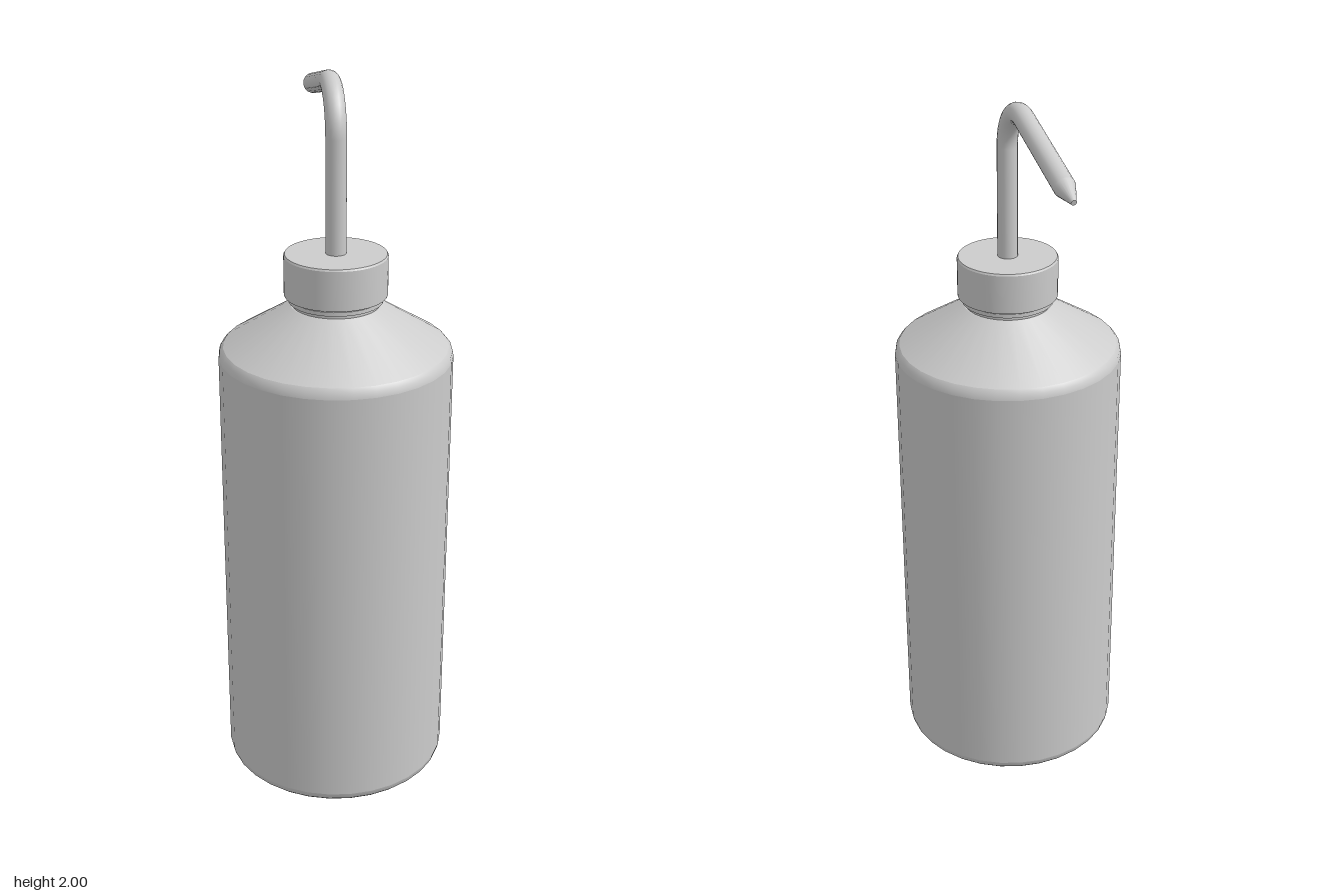
import * as THREE from 'three';

const material = new THREE.MeshStandardMaterial({ color: 0xcccccc });
const AXIS_Z = 0.105; // the bottle sits forward so that the spout balances it

function addMesh(parent, name, geometry) {
  const mesh = new THREE.Mesh(geometry, material);
  mesh.name = name;
  parent.add(mesh);
  return mesh;
}

// Turned part from [radius, height] pairs; a repeated pair makes a sharp edge
function addTurned(parent, name, profile, segments = 32) {
  const points = profile.map(([r, y]) => new THREE.Vector2(r, y));
  addMesh(parent, name, new THREE.LatheGeometry(points, segments)).position.z = AXIS_Z;
}

export function createModel() {
  const model = new THREE.Group();
  model.name = 'washBottle';

  // Body with rounded base, straight wall and conical shoulder
  addTurned(model, 'body', [
    [0, 0], [0.292, 0], [0.292, 0], [0.306, 0.004], [0.314, 0.012], [0.318, 0.028],
    [0.318, 0.028], [0.318, 1.262], [0.318, 1.262], [0.315, 1.278], [0.305, 1.29],
    [0.305, 1.29], [0.122, 1.405], [0.122, 1.405], [0, 1.405],
  ]);

  // Neck with a narrow collar under the cap
  addTurned(model, 'neck', [
    [0.118, 1.395], [0.118, 1.415], [0.118, 1.415], [0.127, 1.415], [0.127, 1.415],
    [0.127, 1.426], [0.127, 1.426], [0.118, 1.426], [0.118, 1.426], [0.118, 1.45],
  ]);

  // Screw cap
  addTurned(model, 'cap', [
    [0, 1.432], [0.138, 1.432], [0.138, 1.432], [0.139, 1.435], [0.139, 1.541],
    [0.139, 1.541], [0.136, 1.546], [0.136, 1.546], [0, 1.546],
  ], 48);

  // Spout tube: riser, rounded bend, then a straight run sloping down to the back
  const radius = 0.028;
  const slope = new THREE.Vector3(0, -0.235, -1).normalize();
  const up = new THREE.Vector3(0, 1, 0);
  const corner = new THREE.Vector3(0, 2.002, AXIS_Z);
  const bendStart = corner.clone().addScaledVector(up, -0.15);
  const bendEnd = corner.clone().addScaledVector(slope, 0.15);
  const tubeEnd = corner.clone().addScaledVector(slope, 0.473);
  const tip = corner.clone().addScaledVector(slope, 0.54);

  const path = new THREE.CurvePath();
  path.add(new THREE.LineCurve3(new THREE.Vector3(0, 1.5, AXIS_Z), bendStart));
  path.add(new THREE.CubicBezierCurve3(
    bendStart, bendStart.clone().addScaledVector(up, 0.077),
    bendEnd.clone().addScaledVector(slope, -0.077), bendEnd));
  path.add(new THREE.LineCurve3(bendEnd, tubeEnd));
  addMesh(model, 'spoutTube', new THREE.TubeGeometry(path, 48, radius, 20, false));

  // Tapered nozzle at the end of the tube
  const nozzle = addMesh(model, 'nozzle',
    new THREE.CylinderGeometry(0.007, radius, tubeEnd.distanceTo(tip), 20));
  nozzle.position.copy(tubeEnd).lerp(tip, 0.5);
  nozzle.quaternion.setFromUnitVectors(up, slope);

  return model;
}
